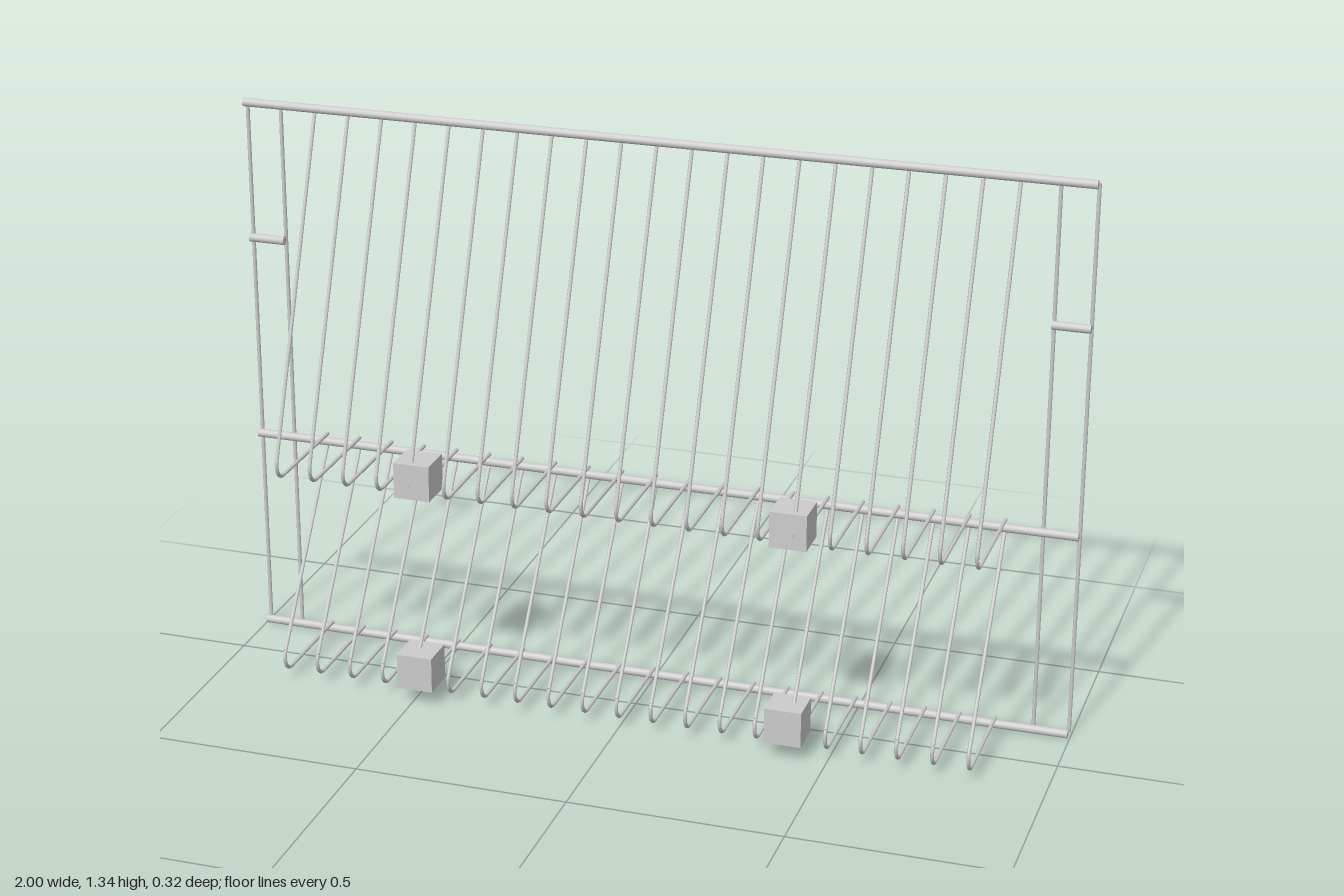
import * as THREE from 'three';
import { mergeGeometries } from 'three/addons/utils/BufferGeometryUtils.js';

const V = (x, y, z) => new THREE.Vector3(x, y, z);
const WIRE_R = 0.0045, RAIL_R = 0.01, RAIL_Z = -0.141, BACK_Z = -0.155;

// Capped round bar between two points
function bar(a, b, r, sides = 10) {
  const dir = b.clone().sub(a);
  const g = new THREE.CylinderGeometry(r, r, dir.length(), sides);
  g.applyQuaternion(new THREE.Quaternion().setFromUnitVectors(V(0, 1, 0), dir.clone().normalize()));
  const mid = a.clone().add(b).multiplyScalar(0.5);
  return g.translate(mid.x, mid.y, mid.z);
}

// V-shaped wire: sloping leg, rounded front bend, flat floor leg
function bentWire(top, corner, end, radius) {
  const u = top.clone().sub(corner).normalize();
  const v = end.clone().sub(corner).normalize();
  const half = u.angleTo(v) / 2;
  const p = corner.clone().addScaledVector(u, radius / Math.tan(half));
  const q = corner.clone().addScaledVector(v, radius / Math.tan(half));
  const center = corner.clone().addScaledVector(u.clone().add(v).normalize(), radius / Math.sin(half));
  const axis = p.clone().sub(center).cross(q.clone().sub(center)).normalize();
  const arc = [];
  for (let i = 0; i <= 8; i++) {
    arc.push(p.clone().sub(center).applyAxisAngle(axis, (Math.PI - 2 * half) * i / 8).add(center));
  }
  const bend = new THREE.TubeGeometry(new THREE.CatmullRomCurve3(arc), 12, WIRE_R, 8);
  return mergeGeometries([bar(top, p, WIRE_R, 8), bend, bar(q, end, WIRE_R, 8)]);
}

export function createModel() {
  const model = new THREE.Group();
  const material = new THREE.MeshStandardMaterial({ color: 0xcccccc });
  const add = (geometry, name, parent = model) => {
    const mesh = new THREE.Mesh(geometry, material);
    mesh.name = name;
    parent.add(mesh);
    return mesh;
  };

  // Long horizontal rails
  [['bottomRail', 0.01], ['middleRail', 0.505], ['topRail', 1.331]].forEach(([name, y]) =>
    add(bar(V(-0.998, y, RAIL_Z), V(0.995, y, RAIL_Z), RAIL_R, 16), name));

  // Paired uprights at each end, joined by a short stub
  for (const [side, s] of [['left', 1], ['right', -1]]) {
    add(bar(V(s * 0.995, 0.01, BACK_Z), V(s * 0.995, 1.331, BACK_Z), WIRE_R), side + 'OuterUpright');
    add(bar(V(s * 0.912, 0.01, BACK_Z), V(s * 0.912, 1.331, BACK_Z), WIRE_R), side + 'InnerUpright');
    add(bar(V(s * 0.91, 1.001, RAIL_Z), V(s * 0.997, 1.001, RAIL_Z), RAIL_R, 16), side + 'Stub');
  }

  // Two tiers of bent wires
  const tiers = [
    ['upperWires', bentWire(V(0, 1.331, BACK_Z), V(0, 0.519, 0.162), V(0, 0.519, BACK_Z), 0.035)],
    ['lowerWires', bentWire(V(0, 0.497, BACK_Z), V(0, 0.026, 0.179), V(0, 0.026, -0.141), 0.035)],
  ];
  for (const [name, geometry] of tiers) {
    const tier = new THREE.Group();
    tier.name = name;
    for (let i = -10; i <= 10; i++) add(geometry, 'bentWire', tier).position.x = i * 0.0825;
    model.add(tier);
  }

  // Cube blocks clamped on the front bends
  const cube = new THREE.BoxGeometry(0.086, 0.086, 0.086);
  for (const x of [-0.49, 0.4]) {
    add(cube, 'upperBlock').position.set(x, 0.559, 0.106);
    add(cube, 'lowerBlock').position.set(x, 0.08, 0.12);
  }
  return model;
}
